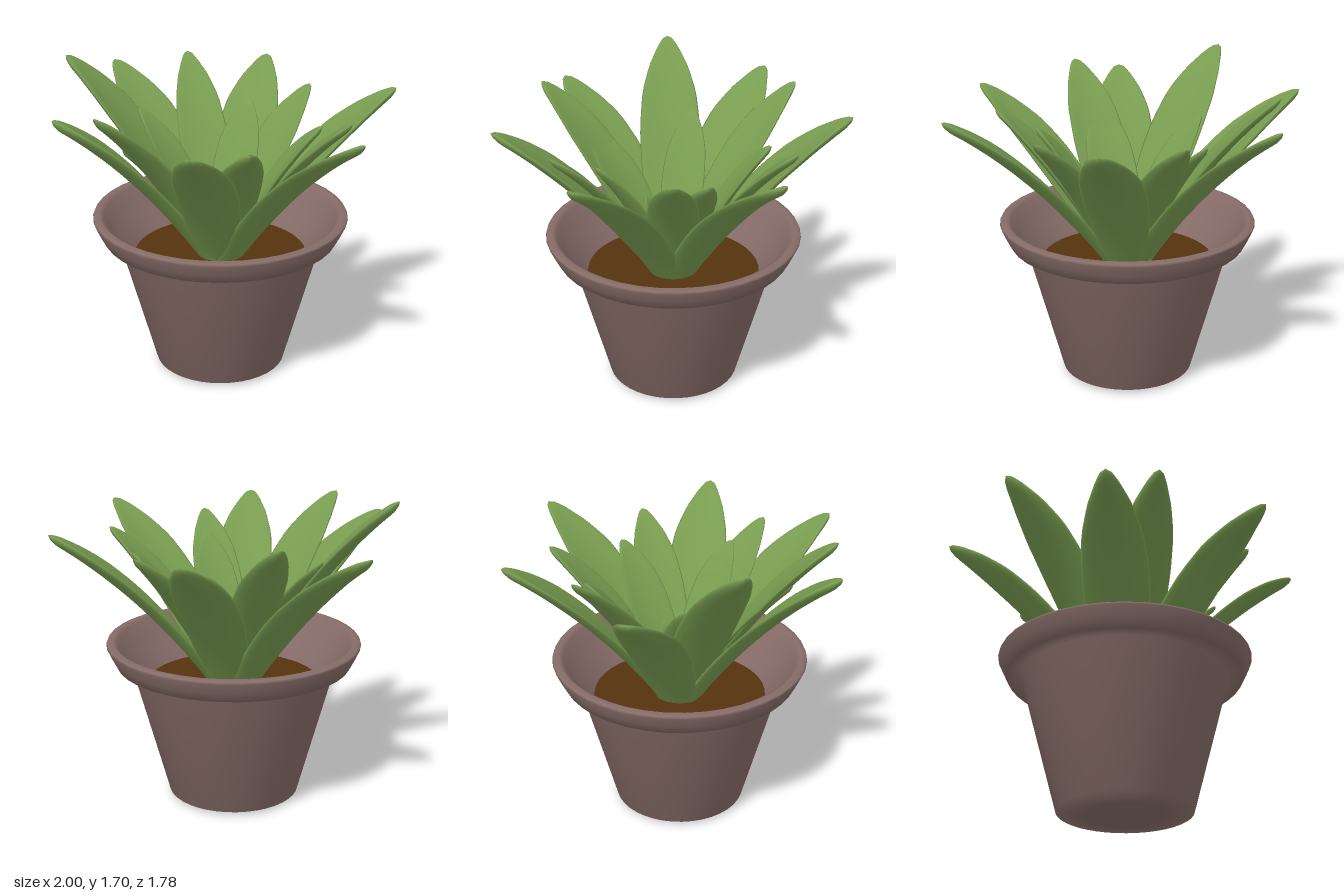
import * as THREE from 'three';

const material = (color, side = THREE.FrontSide) =>
  new THREE.MeshStandardMaterial({ color, side });

// Half-width of a leaf along its length: [t, fraction of the greatest width]
const OUTLINE = [[0, 0.58], [0.12, 0.74], [0.25, 0.89], [0.4, 0.99], [0.52, 1], [0.68, 0.9], [0.82, 0.64], [0.93, 0.34], [0.98, 0.17], [1, 0]];

function outlineAt(t) {
  const k = Math.max(1, OUTLINE.findIndex(([u]) => u >= t));
  const [t0, w0] = OUTLINE[k - 1], [t1, w1] = OUTLINE[k];
  return w0 + (w1 - w0) * (t - t0) / (t1 - t0);
}

// A thick, cupped blade swept from the soil along an arched curve to its tip
function leafGeometry(x, y, z, width) {
  const rings = 24, sides = 20, baseY = 0.6;
  const reach = Math.hypot(x, z);
  const out = new THREE.Vector3(x / reach, 0, z / reach);
  const point = (r, h) => out.clone().multiplyScalar(r * reach).setY(baseY + (y - baseY) * h);
  const curve = new THREE.QuadraticBezierCurve3(point(0.06, 0), point(0.51, 0.71), point(1, 1));
  const positions = [], index = [];
  for (let i = 0; i <= rings; i++) {
    const t = Math.sin((i / rings) * Math.PI / 2); // denser toward the tip
    const p = curve.getPoint(t), along = curve.getTangent(t);
    const up = out.clone().multiplyScalar(-along.y);
    up.y = along.dot(out);
    const across = up.clone().cross(along);
    const half = outlineAt(t) * width / 2;
    const thick = Math.min(width * 0.075, half * 0.5);
    for (let j = 0; j < sides; j++) {
      const a = (j / sides) * Math.PI * 2, c = Math.cos(a), s = Math.sin(a);
      // Full underside, flatter top, edges raised into a shallow trough
      const lift = thick * s * (s > 0 ? 0.75 : 1) + half * 0.22 * (c * c - 0.4);
      const v = p.clone().addScaledVector(across, half * c).addScaledVector(up, lift);
      positions.push(v.x, v.y, v.z);
      if (i < rings) {
        const n = (j + 1) % sides, a0 = i * sides + j, b0 = i * sides + n;
        index.push(a0, b0, a0 + sides, b0, b0 + sides, a0 + sides);
      }
    }
  }
  const geometry = new THREE.BufferGeometry();
  geometry.setAttribute('position', new THREE.Float32BufferAttribute(positions, 3));
  geometry.setIndex(index);
  geometry.computeVertexNormals();
  return geometry;
}

// Tip position and width of each leaf
const LEAVES = {
  outerLeaf: [
    [1.0, 1.53, -0.09, 0.33], [0.41, 1.53, -0.89, 0.34], [-0.55, 1.53, -0.77, 0.34],
    [-1.0, 1.53, 0.02, 0.35], [-0.71, 1.70, 0.51, 0.34], [-0.22, 1.53, 0.89, 0.36],
    [0.07, 1.60, 0.82, 0.31], [0.66, 1.53, 0.68, 0.33],
  ],
  middleLeaf: [
    [0.65, 1.47, 0.31, 0.27], [0.60, 1.47, -0.39, 0.27],
    [-0.74, 1.58, -0.32, 0.28], [-0.08, 1.47, -0.70, 0.27],
  ],
  innerLeaf: [
    [-0.29, 1.38, -0.43, 0.25], [0.33, 1.38, -0.43, 0.25], [0.46, 1.39, 0.17, 0.24],
    [-0.49, 1.39, 0.19, 0.24], [-0.01, 1.38, 0.61, 0.28],
  ],
  centreLeaf: [
    [0.02, 1.05, 0.17, 0.14], [-0.13, 1.03, -0.11, 0.13], [0.11, 1.03, -0.12, 0.13],
  ],
};

export function createModel() {
  const model = new THREE.Group();

  // Pot: one smooth profile from the base, up the wall, over the rim and down inside
  const profile = [
    [0, 0], [0.2, 0.005], [0.362, 0.02], [0.564, 0.77], [0.642, 0.77], [0.67, 0.825], [0.695, 0.88],
    [0.69, 0.892], [0.66, 0.9], [0.635, 0.885], [0.6, 0.82], [0.56, 0.77], [0.46, 0.63],
  ].map(([r, h]) => new THREE.Vector2(r, h));
  const pot = new THREE.Mesh(new THREE.LatheGeometry(profile, 40), material(0x866c68, THREE.DoubleSide));
  pot.name = 'pot';
  model.add(pot);

  // Soil disc
  const soil = new THREE.Mesh(new THREE.CircleGeometry(0.475, 40), material(0x55330f));
  soil.name = 'soil';
  soil.rotation.x = -Math.PI / 2;
  soil.position.y = 0.65;
  model.add(soil);

  // Rosette of leaves
  const plant = new THREE.Group();
  plant.name = 'plant';
  const green = material(0x789c50);
  for (const [name, leaves] of Object.entries(LEAVES)) {
    for (const leaf of leaves) {
      const mesh = new THREE.Mesh(leafGeometry(...leaf), green);
      mesh.name = name;
      plant.add(mesh);
    }
  }
  model.add(plant);
  return model;
}
